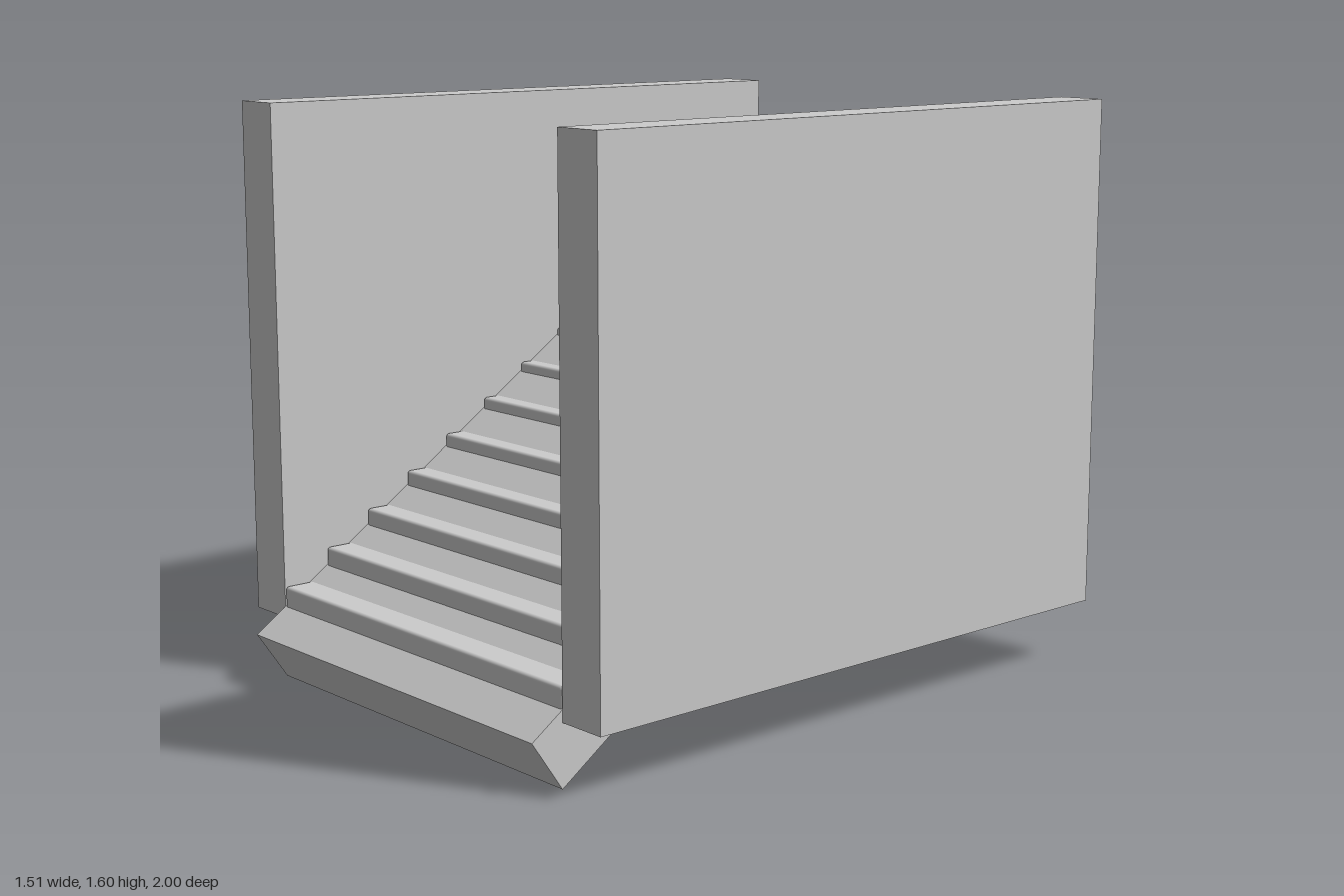
import * as THREE from 'three';
import { RoundedBoxGeometry } from 'three/addons/geometries/RoundedBoxGeometry.js';

export function createModel() {
  const model = new THREE.Group();
  model.name = 'staircase';

  const stone = new THREE.MeshStandardMaterial({ color: 0xcccccc });
  stone.name = 'grey stone';

  const add = (name, geometry, x, y, z) => {
    const mesh = new THREE.Mesh(geometry, stone);
    mesh.name = name;
    mesh.position.set(x, y, z);
    model.add(mesh);
    return mesh;
  };

  const base = 0.167, top = 1.595; // height range of the walls
  const depth = 1.81, innerWidth = 1.226, wallThickness = 0.143;

  // Side walls
  for (const side of [1, -1]) {
    add(side > 0 ? 'leftWall' : 'rightWall',
      new THREE.BoxGeometry(wallThickness, top - base, depth),
      side * (innerWidth + wallThickness) / 2, (base + top) / 2, 0);
  }

  // Steps: softly rounded columns, each one rise taller than the one before
  const count = 13, rise = 0.0899, run = depth / count;
  for (let i = 0; i < count; i++) {
    const height = rise * (i + 1);
    add(`step${i + 1}`, new RoundedBoxGeometry(innerWidth, height, run, 3, 0.01),
      0, base + height / 2, depth / 2 - run * (i + 0.5));
  }

  // Sloping slab laid through the steps, sticking out at both ends
  const slopeRise = 1.295, slopeRun = 1.905;
  const ramp = add('ramp',
    new THREE.BoxGeometry(innerWidth, 0.165, Math.hypot(slopeRise, slopeRun)), 0, 0.715, 0);
  ramp.rotation.x = Math.atan2(slopeRise, slopeRun);

  return model;
}
